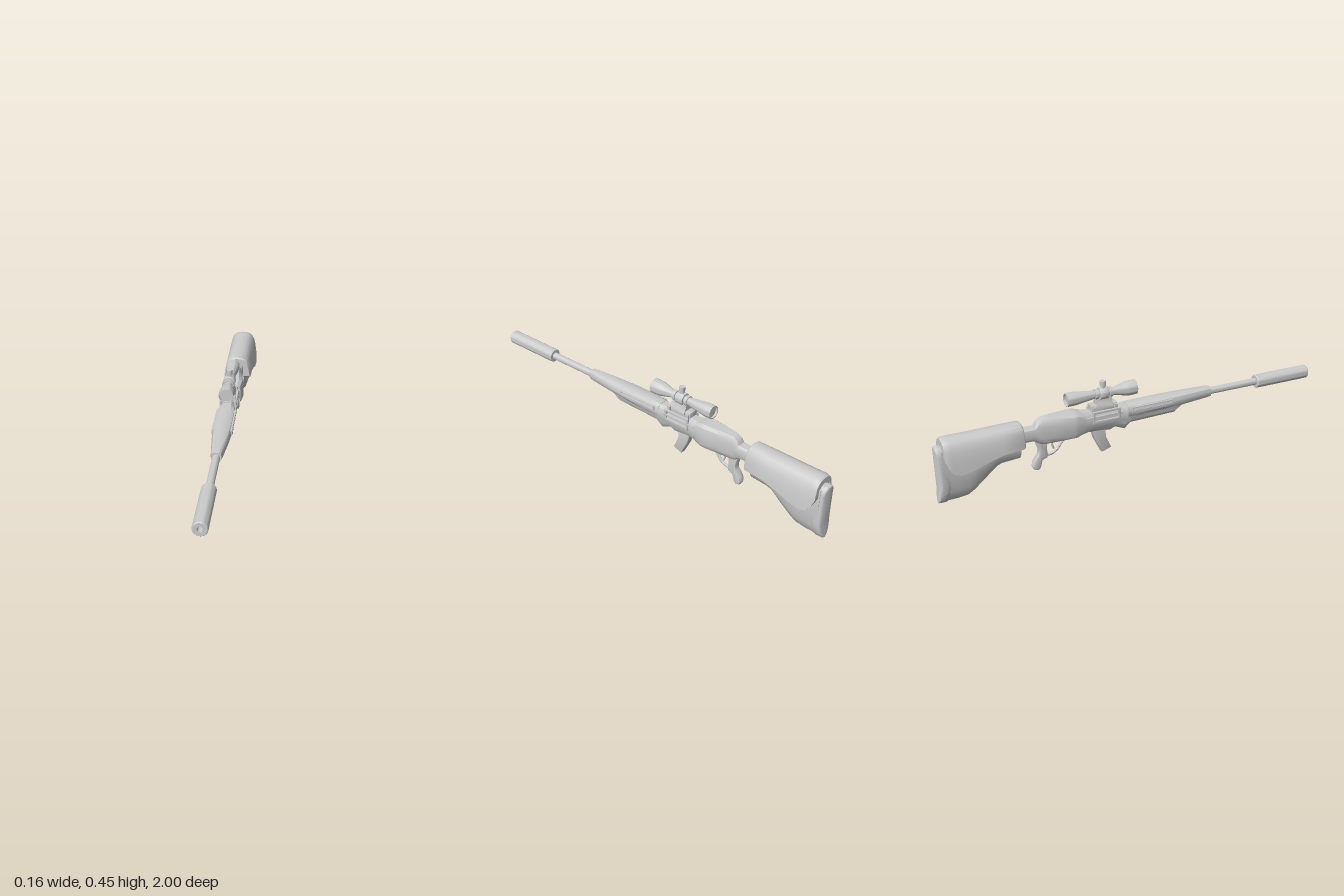
import * as THREE from 'three';
import { toCreasedNormals } from 'three/addons/utils/BufferGeometryUtils.js';

const AXIS = 0.283;    // barrel height
const SCOPE_Y = 0.385; // scope height

export function createModel() {
  const model = new THREE.Group();
  const material = new THREE.MeshStandardMaterial({ color: 0xcccccc });

  function add(name, geometry, x = 0, y = 0, z = 0, crease = 0.6) {
    const mesh = new THREE.Mesh(toCreasedNormals(geometry, crease), material);
    mesh.name = name;
    mesh.position.set(x, y, z);
    model.add(mesh);
    return mesh;
  }

  // Skin over cross-sections [z, halfWidth, top, bottom], front to back.
  // The half profile runs from top to bottom in fractions and is mirrored.
  function loft(name, half, sections, crease) {
    const profile = [...half, ...half.slice(1, -1).reverse().map(([x, y]) => [-x, y])];
    const n = profile.length, pos = [], index = [];
    for (const [z, w, top, bot] of sections) {
      for (const [x, y] of profile) pos.push(x * w, bot + y * (top - bot), z);
    }
    const last = (sections.length - 1) * n;
    for (const [z, , top, bot] of [sections[0], sections.at(-1)]) pos.push(0, (top + bot) / 2, z);
    for (let j = 0; j < n; j++) {
      const k = (j + 1) % n;
      for (let a = 0; a < last; a += n) index.push(a + j, a + k, a + n + k, a + j, a + n + k, a + n + j);
      index.push(last + n, k, j, last + n + 1, last + j, last + k);
    }
    const g = new THREE.BufferGeometry();
    g.setAttribute('position', new THREE.Float32BufferAttribute(pos, 3));
    g.setIndex(index);
    return add(name, g, 0, 0, 0, crease);
  }

  // Side outline in (z, y), extruded across x with a bevel
  function plate(name, outline, width, bevel = 0.005, x = 0, hole = null) {
    const toPoints = (list) => list.map(([z, y]) => new THREE.Vector2(z, y));
    const shape = new THREE.Shape(toPoints(outline));
    if (hole) shape.holes.push(new THREE.Path(toPoints(hole)));
    const depth = width - 2 * bevel;
    const g = new THREE.ExtrudeGeometry(shape, {
      depth, bevelEnabled: bevel > 0, bevelSize: bevel, bevelThickness: bevel, bevelOffset: -bevel, bevelSegments: 2,
    });
    g.translate(0, 0, -depth / 2).rotateY(-Math.PI / 2);
    return add(name, g, x);
  }

  // Turned part along z, points [radius, z] from back to front
  function turned(name, points, y, segments = 28) {
    const g = new THREE.LatheGeometry(points.map(([r, z]) => new THREE.Vector2(r, z)), segments);
    return add(name, g.rotateX(Math.PI / 2), 0, y);
  }

  const rect = (z0, z1, y0, y1) => [[z0, y0], [z1, y0], [z1, y1], [z0, y1]];

  // Barrel and suppressor
  turned('barrel', [[0, 0.3], [0.018, 0.3], [0.018, 0.7], [0, 0.7]], AXIS, 20);
  turned('suppressor', [[0, 0.69], [0.031, 0.69], [0.034, 0.694], [0.034, 0.996], [0.031, 1],
    [0.013, 1], [0.013, 0.93], [0, 0.93]], AXIS);

  // Tapered fore-end, with a keel below and a grooved panel on each side
  const chamfered = [[0, 1], [0.5, 1], [0.85, 0.86], [1, 0.6], [1, 0.3], [0.72, 0], [0, 0]];
  loft('foreEnd', chamfered, [
    [0.42, 0.024, 0.308, 0.262], [0.4, 0.027, 0.31, 0.26], [0.25, 0.04, 0.312, 0.253],
    [0.15, 0.046, 0.312, 0.25], [0, 0.046, 0.312, 0.245], [-0.05, 0.04, 0.312, 0.24],
  ]);
  const keel = [[0, 1], [1, 1], [0.85, 0.3], [0.45, 0], [0, 0]];
  loft('foreEndKeel', keel, [
    [0.26, 0.028, 0.268, 0.25], [0.215, 0.036, 0.268, 0.217], [-0.03, 0.038, 0.268, 0.212],
    [-0.06, 0.036, 0.268, 0.184], [-0.11, 0.034, 0.268, 0.205], [-0.135, 0.034, 0.268, 0.195],
    [-0.26, 0.036, 0.268, 0.205], [-0.32, 0.045, 0.268, 0.198],
  ]);
  for (const side of [-1, 1]) {
    plate('foreEndSlot', rect(-0.03, 0.19, 0.278, 0.3), 0.01, 0.002, side * 0.043, rect(-0.022, 0.182, 0.284, 0.294));
    plate('receiverFrame', rect(-0.235, -0.09, 0.252, 0.312), 0.012, 0.003, side * 0.036, rect(-0.222, -0.103, 0.265, 0.3));
    plate('receiverRib', rect(-0.27, -0.08, 0.278, 0.287), 0.01, 0.002, side * 0.036);
  }

  // Receiver, rear housing and wrist
  loft('receiver', chamfered, [
    [-0.05, 0.04, 0.31, 0.22], [-0.1, 0.034, 0.31, 0.22], [-0.23, 0.036, 0.31, 0.215], [-0.32, 0.046, 0.315, 0.2],
  ]);
  const housing = [[0, 1], [0.6, 1], [0.88, 0.9], [1, 0.7], [1, 0.25], [0.85, 0.08], [0.55, 0], [0, 0]];
  loft('rearHousing', housing, [
    [-0.275, 0.046, 0.31, 0.21], [-0.315, 0.054, 0.323, 0.195], [-0.335, 0.055, 0.323, 0.195],
    [-0.44, 0.038, 0.323, 0.192], [-0.485, 0.031, 0.32, 0.192], [-0.505, 0.029, 0.308, 0.2], [-0.52, 0.028, 0.286, 0.215],
  ]);
  loft('wrist', housing, [[-0.49, 0.029, 0.29, 0.2], [-0.53, 0.03, 0.285, 0.218], [-0.62, 0.03, 0.285, 0.218]]);

  // Magazine, grip, trigger and guard
  plate('magazine', [[-0.16, 0.22], [-0.158, 0.163], [-0.131, 0.1], [-0.179, 0.083],
    [-0.217, 0.158], [-0.233, 0.22]], 0.036);
  plate('grip', [[-0.457, 0.21], [-0.463, 0.163], [-0.458, 0.13], [-0.463, 0.118], [-0.487, 0.108], [-0.497, 0.072],
    [-0.508, 0.06], [-0.528, 0.064], [-0.535, 0.08], [-0.53, 0.105], [-0.505, 0.14], [-0.502, 0.16], [-0.516, 0.21]], 0.036, 0.007);
  const tube = (name, points, radius) => add(name, new THREE.TubeGeometry(
    new THREE.CatmullRomCurve3(points.map(([z, y]) => new THREE.Vector3(0, y, z))), 16, radius, 8), 0, 0, 0, 1);
  tube('triggerGuard', [[-0.365, 0.2], [-0.39, 0.168], [-0.415, 0.138], [-0.445, 0.126], [-0.475, 0.125]], 0.007);
  tube('trigger', [[-0.43, 0.2], [-0.432, 0.175], [-0.424, 0.15]], 0.005);

  // Lower stock with a rounded, narrowing underside
  const belly = [[0, 1], [0.9, 1], [1, 0.75], [0.97, 0.5], [0.82, 0.22], [0.55, 0.07], [0.25, 0.01], [0, 0]];
  loft('lowerStock', belly, [
    [-0.598, 0.036, 0.25, 0.143], [-0.69, 0.04, 0.25, 0.137], [-0.715, 0.041, 0.25, 0.127], [-0.77, 0.042, 0.25, 0.078],
    [-0.825, 0.043, 0.25, 0.032], [-0.855, 0.043, 0.25, 0.014], [-0.9, 0.043, 0.26, 0.008], [-0.975, 0.043, 0.27, 0.006],
  ], 0.8);

  // Cheek cover draped over the stock, its lower edge dipping toward the rear
  const saddle = [[0, 1], [0.3, 0.985], [0.55, 0.92], [0.72, 0.8], [0.84, 0.62], [0.92, 0.4], [0.97, 0.18], [1, 0], [0, 0]];
  loft('cheekCover', saddle, [
    [-0.585, 0.064, 0.316, 0.22], [-0.592, 0.07, 0.322, 0.214], [-0.69, 0.072, 0.322, 0.208], [-0.77, 0.074, 0.322, 0.188],
    [-0.845, 0.077, 0.322, 0.163], [-0.9, 0.078, 0.322, 0.154], [-0.935, 0.077, 0.322, 0.168], [-0.955, 0.074, 0.32, 0.2],
    [-0.967, 0.066, 0.314, 0.23],
  ], 0.7);

  // Butt pad: long rounded outline, softly bevelled, its rear face hollowed
  const pad = new THREE.Shape();
  pad.moveTo(0, 0.009);
  pad.bezierCurveTo(0.02, 0.012, 0.034, 0.05, 0.034, 0.1);
  pad.lineTo(0.03, 0.24);
  pad.bezierCurveTo(0.03, 0.29, -0.03, 0.29, -0.03, 0.24);
  pad.lineTo(-0.034, 0.1);
  pad.bezierCurveTo(-0.034, 0.05, -0.02, 0.012, 0, 0.009);
  const padGeo = new THREE.ExtrudeGeometry(pad, {
    depth: 0.025, bevelSize: 0.009, bevelThickness: 0.01, bevelSegments: 4, curveSegments: 12,
  });
  padGeo.translate(0, 0, -0.99);
  const p = padGeo.attributes.position;
  for (let i = 0; i < p.count; i++) {
    const t = (p.getY(i) - 0.14) / 0.14;
    p.setZ(i, p.getZ(i) + 0.012 * Math.max(0, 1 - t * t));
  }
  add('buttPad', padGeo, 0, 0, 0, 0.8);

  // Scope with turret, ring and mount
  turned('scope', [[0, -0.345], [0.028, -0.345], [0.028, -0.355], [0.033, -0.355], [0.033, -0.315], [0.02, -0.215],
    [0.019, -0.11], [0.034, -0.05], [0.036, -0.04], [0.036, 0.005], [0.032, 0.005], [0.032, -0.008], [0, -0.008]], SCOPE_Y);
  for (const z of [-0.128, -0.202]) {
    turned('scopeCollar', [[0.017, z - 0.008], [0.025, z - 0.008], [0.025, z + 0.008], [0.017, z + 0.008]], SCOPE_Y);
  }
  turned('scopeRing', [[0.017, -0.187], [0.028, -0.187], [0.03, -0.184], [0.03, -0.146], [0.028, -0.143], [0.017, -0.143]], SCOPE_Y);
  add('turretStem', new THREE.CylinderGeometry(0.011, 0.011, 0.04, 16), 0, 0.412, -0.165);
  add('turretKnob', new THREE.CylinderGeometry(0.015, 0.015, 0.025, 12), 0, 0.435, -0.165);
  loft('scopeMount', [[0, 1], [0.6, 1], [0.65, 0.6], [1, 0.2], [1, 0], [0, 0]], [[-0.125, 0.03, 0.365, 0.32], [-0.205, 0.03, 0.365, 0.32]]);
  plate('mountRail', rect(-0.235, -0.1, 0.3, 0.336), 0.05, 0.004);
  for (const z of [-0.11, -0.222]) {
    add('mountClamp', new THREE.BoxGeometry(0.068, 0.03, 0.018), 0, 0.315, z);
  }

  return model;
}
